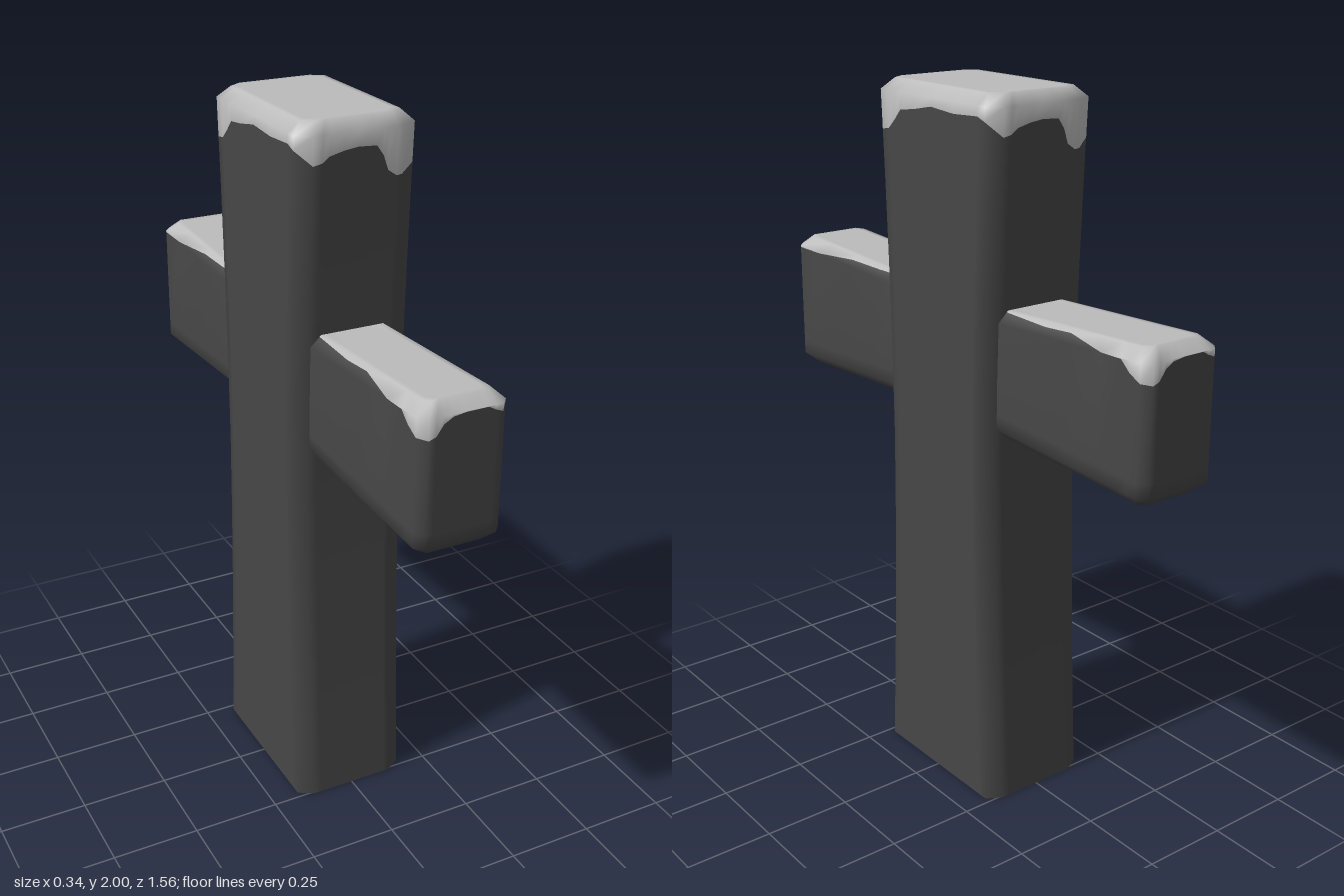
import * as THREE from 'three';
import { mergeVertices } from 'three/addons/utils/BufferGeometryUtils.js';

const BEVEL = 0.03;
const STONE = 0, SNOW = 1;

const materials = [
  new THREE.MeshStandardMaterial({ color: 0x474747, side: THREE.DoubleSide, name: 'dark stone' }),
  new THREE.MeshStandardMaterial({ color: 0xbcbcbc, side: THREE.DoubleSide, name: 'snow' }),
];

// Complete a half outline by turning it 180 degrees about the y axis.
const fullLoop = (half) => [...half, ...half.map(([x, z, d]) => [-x, -z, d])];

// Join rows of points into one smooth skin; the rows run from bottom to top.
// kind(row, i, j) picks the material of each quad.
function loft(name, loop, rows, kind) {
  const n = loop.length;
  const positions = rows.flatMap((row) => loop.flatMap((c) => row(c)));
  const faces = [[], []];
  for (let r = 0; r < rows.length - 1; r++) {
    for (let i = 0; i < n; i++) {
      const j = (i + 1) % n;
      const a = r * n + i, b = r * n + j, c = a + n, d = b + n;
      faces[kind(r, loop[i], loop[j])].push(a, b, d, a, d, c);
    }
  }
  let geometry = new THREE.BufferGeometry();
  geometry.setAttribute('position', new THREE.Float32BufferAttribute(positions, 3));
  geometry.setIndex([...faces[STONE], ...faces[SNOW]]);
  geometry.addGroup(0, faces[STONE].length, STONE);
  geometry.addGroup(faces[STONE].length, faces[SNOW].length, SNOW);
  geometry = mergeVertices(geometry, 1e-5);
  geometry.computeVertexNormals();
  const mesh = new THREE.Mesh(geometry, materials);
  mesh.name = name;
  return mesh;
}

// Pull an outline point inwards by a fixed inset.
const shrink = (x, z, hx, hz, inset) => [x * (1 - inset / hx), z * (1 - inset / hz)];

// Rows that carry the snow edge, the bevel and the flat top.
function topRows(at) {
  return [
    (c) => at(c, Math.max(c[2], BEVEL), 0),
    (c) => at(c, Math.min(c[2], BEVEL), BEVEL - Math.min(c[2], BEVEL)),
    (c) => at(c, 0, BEVEL),
    (c) => at(c, 0, BEVEL + 0.015),
    (c) => at(c, 0, null),
  ];
}

// Material rule: first = index of the first top row.
const snowRule = (first) => (r, a, b) => {
  if (r < first) return STONE;
  if (r === first) return a[2] + b[2] > 2 * BEVEL ? SNOW : STONE;
  return SNOW;
};

// Upright post, narrowest near the middle and open underneath.
function makePost() {
  const HX = 0.168, HZ = 0.255;
  // x, z and depth of the snow edge below the top
  const loop = fullLoop([
    [-0.125, HZ, 0.105], [-0.10, HZ, 0.10], [-0.08, HZ, 0.085], [-0.04, HZ, 0.075],
    [0, HZ, 0.07], [0.05, HZ, 0.073], [0.07, HZ, 0.10], [0.085, HZ, 0.14],
    [0.11, HZ, 0.157], [0.125, HZ, 0.155],
    [HX, 0.23, 0.135], [HX, 0.2, 0.13], [HX, 0.17, 0.105], [HX, 0.14, 0.075],
    [HX, 0.08, 0.068], [HX, 0, 0.053], [HX, -0.1, 0.06], [HX, -0.2, 0.055], [HX, -0.23, 0.065],
  ]);
  const widen = (y) => (0.216 + 0.039 * Math.pow(Math.abs(y - 1.03), 1.6)) / HZ;
  const ring = (y) => ([x, z]) => [x, y, z * widen(y)];
  const at = ([x, z], depth, inset) => {
    const y = 2 - depth;
    if (inset === null) return [0, y, 0];
    const [sx, sz] = shrink(x, z, HX, HZ, inset);
    return [sx, y, sz * widen(y)];
  };
  const lower = [0, 0.25, 0.5, 0.75, 1, 1.25, 1.5, 1.75].map(ring);
  return loft('post', loop, [...lower, ...topRows(at)], snowRule(lower.length));
}

// Crossbeam running front to back, growing taller towards both ends.
function makeCrossbeam() {
  const HX = 0.121, HZ = 0.78, MID = 1.27;
  const loop = fullLoop([
    [-0.1, HZ, 0.085], [-0.08, HZ, 0.078], [-0.06, HZ, 0.05], [-0.035, HZ, 0.036],
    [0, HZ, 0.031], [0.06, HZ, 0.031], [0.08, HZ, 0.042], [0.1, HZ, 0.05],
    [HX, 0.757, 0.035], [HX, 0.65, 0.03], [HX, 0.5, 0.014], [HX, 0.36, 0.01], [HX, 0.23, 0.004],
    [HX, -0.23, 0.004], [HX, -0.4, 0.012], [HX, -0.5, 0.01], [HX, -0.62, 0.03],
    [HX, -0.69, 0.032], [HX, -0.72, 0.06], [HX, -0.757, 0.08],
  ]);
  const place = (sign) => ([x, z], depth, inset) => {
    const [sx, sz] = inset === null ? [0, 0] : shrink(x, z, HX, HZ, inset);
    return [sx, MID + sign * (0.165 + 0.047 * Math.abs(sz) - depth), sz];
  };
  const under = place(-1);
  const lower = [
    (c) => under(c, 0, null),
    (c) => under(c, 0, BEVEL + 0.015),
    (c) => under(c, 0, BEVEL),
    (c) => under(c, BEVEL, 0),
    (c) => under(c, BEVEL + 0.04, 0),
  ];
  return loft('crossbeam', loop, [...lower, ...topRows(place(1))], snowRule(lower.length));
}

export function createModel() {
  const model = new THREE.Group();
  model.name = 'snowy stone cross';
  model.add(makePost(), makeCrossbeam());
  return model;
}
